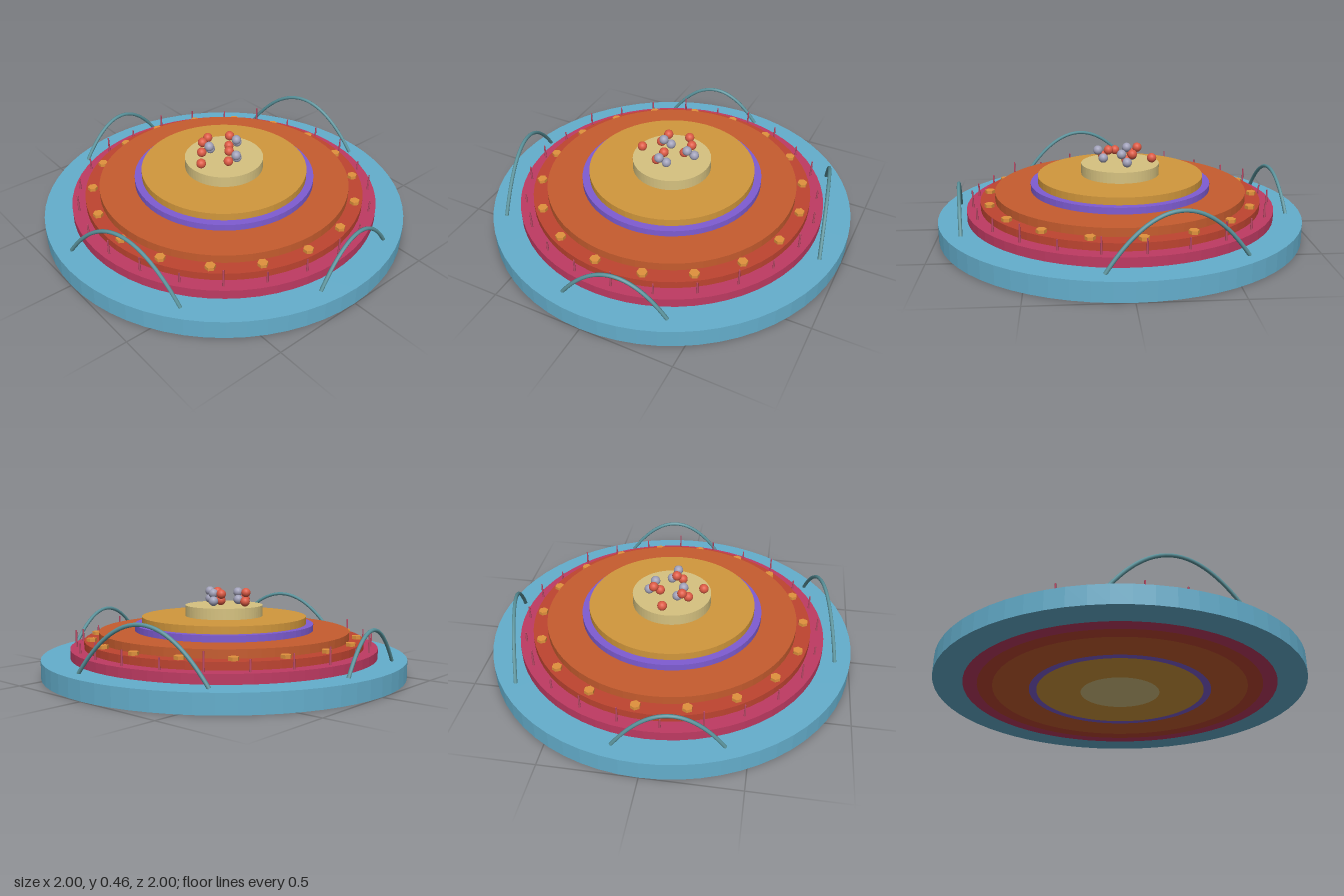
import * as THREE from 'three';

const mat = (color, flatShading = false) => new THREE.MeshStandardMaterial({ color, flatShading });

function add(parent, name, geometry, material, x = 0, y = 0, z = 0) {
  const mesh = new THREE.Mesh(geometry, material);
  mesh.name = name;
  mesh.position.set(x, y, z);
  parent.add(mesh);
  return mesh;
}

// Solid ring (or disc when inner is 0) standing on y = 0
function ringGeometry(inner, outer, height) {
  const profile = [[inner, 0], [outer, 0], [outer, height], [inner, height]];
  if (inner > 0) profile.push([inner, 0]);
  return new THREE.LatheGeometry(profile.map(([r, y]) => new THREE.Vector2(r, y)), 64);
}

function subgroup(parent, name) {
  const group = new THREE.Group();
  group.name = name;
  parent.add(group);
  return group;
}

export function createModel() {
  const model = new THREE.Group();
  model.name = 'layeredStar';

  // Nested layers, rising in steps towards the core
  const layers = [
    ['core', 0.215, 0.37, 0xd6c280],
    ['radiativeZone', 0.455, 0.31, 0xd1973c],
    ['transitionRing', 0.495, 0.27, 0x7e5cd2],
    ['convectiveZone', 0.69, 0.235, 0xc65c2e],
    ['surfaceRing', 0.77, 0.19, 0xbe4430],
    ['lowerAtmosphere', 0.845, 0.15, 0xbe3a62],
    ['outerAtmosphere', 1.0, 0.10, 0x64aecc],
  ];
  const layerGroup = subgroup(model, 'layers');
  let inner = 0;
  for (const [name, outer, height, color] of layers) {
    add(layerGroup, name, ringGeometry(inner, outer, height), mat(color, true));
    inner = outer;
  }

  // Hexagonal granules on the surface ring
  const granules = subgroup(model, 'granules');
  const granuleGeometry = new THREE.CylinderGeometry(0.027, 0.027, 0.02, 6);
  const granuleMaterial = mat(0xe0913c, true);
  for (let i = 0; i < 18; i++) {
    const a = THREE.MathUtils.degToRad(i * 20 - 5);
    add(granules, 'granule', granuleGeometry, granuleMaterial, 0.73 * Math.cos(a), 0.198, 0.73 * Math.sin(a));
  }

  // Thin spikes of varied height on the lower atmosphere
  const spikes = subgroup(model, 'spikes');
  const spikeMaterial = mat(0xbe4a68);
  for (let i = 0; i < 24; i++) {
    const a = THREE.MathUtils.degToRad(i * 15 + 5);
    const h = 0.075 + 0.022 * Math.sin(i * 2.4 + 1.2);
    const geometry = new THREE.CylinderGeometry(0.004, 0.006, h, 6);
    add(spikes, 'spike', geometry, spikeMaterial, 0.81 * Math.sin(a), 0.15 + h / 2, 0.81 * Math.cos(a));
  }

  // Arched loops on the outer atmosphere: start, end and peak height
  const loops = subgroup(model, 'archedLoops');
  const loopMaterial = mat(0x5a939c);
  const arches = [
    [-0.15, 0.905, 0.39, 0.835, 0.295],
    [0.735, -0.565, 0.91, 0.13, 0.36],
  ];
  for (const [x0, z0, x1, z1, peak] of arches) {
    for (const s of [1, -1]) {
      const curve = new THREE.QuadraticBezierCurve3(
        new THREE.Vector3(s * x0, 0.1, s * z0),
        new THREE.Vector3(s * (x0 + x1) / 2, 2 * peak - 0.1, s * (z0 + z1) / 2),
        new THREE.Vector3(s * x1, 0.1, s * z1));
      add(loops, 'archedLoop', new THREE.TubeGeometry(curve, 32, 0.01, 8), loopMaterial);
    }
  }

  // Particles on the core: three clusters of four, and two singles
  const particles = subgroup(model, 'particles');
  const ball = new THREE.SphereGeometry(0.026, 16, 12);
  const red = mat(0xdc5a44), grey = mat(0xa0a0b8);
  for (const [x, z] of [[-0.07, -0.07], [0.09, -0.03], [-0.017, 0.093]]) {
    const cluster = subgroup(particles, 'cluster');
    cluster.position.set(x, 0, z);
    add(cluster, 'redParticle', ball, red, -0.03, 0.4, 0);
    add(cluster, 'greyParticle', ball, grey, 0.03, 0.4, 0);
    add(cluster, 'redParticle', ball, red, 0, 0.438, -0.03);
    add(cluster, 'greyParticle', ball, grey, 0, 0.438, 0.028);
  }
  add(particles, 'singleParticle', ball, red, 0.025, 0.4, -0.173);
  add(particles, 'singleParticle', ball, red, -0.173, 0.4, 0.018);

  return model;
}
